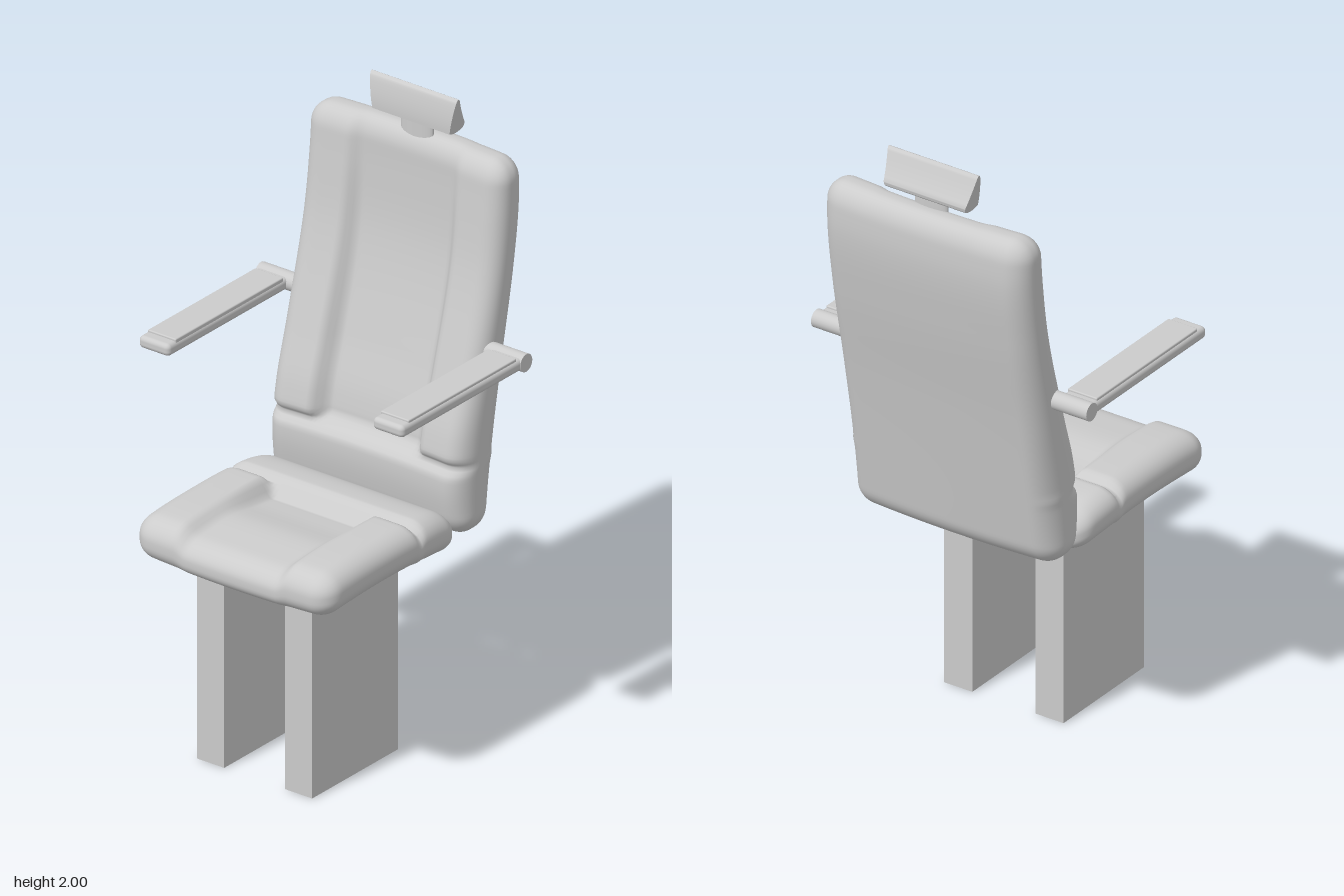
import * as THREE from 'three';
import { mergeVertices, toCreasedNormals } from 'three/addons/utils/BufferGeometryUtils.js';
import { RoundedBoxGeometry } from 'three/addons/geometries/RoundedBoxGeometry.js';

const material = new THREE.MeshStandardMaterial({ color: 0xcccccc });
const { clamp, lerp, smoothstep } = THREE.MathUtils;

function addMesh(parent, name, geometry, x = 0, y = 0, z = 0) {
  const mesh = new THREE.Mesh(geometry, material);
  mesh.name = name;
  mesh.position.set(x, y, z);
  parent.add(mesh);
  return mesh;
}

// Finely divided box with rounded edges, each vertex then moved by warp(v)
function cushion(size, segments, radius, warp) {
  const geometry = new THREE.BoxGeometry(...size, ...segments);
  geometry.deleteAttribute('uv');
  geometry.deleteAttribute('normal');
  const merged = mergeVertices(geometry);
  const inner = new THREE.Vector3(...size).multiplyScalar(0.5).subScalar(radius);
  const core = new THREE.Vector3();
  const v = new THREE.Vector3();
  const pos = merged.attributes.position;
  for (let i = 0; i < pos.count; i++) {
    v.fromBufferAttribute(pos, i);
    core.copy(v).clamp(inner.clone().negate(), inner);
    v.sub(core).setLength(radius).add(core);
    warp(v);
    pos.setXYZ(i, v.x, v.y, v.z);
  }
  merged.computeVertexNormals();
  return merged;
}

// Smooth curve through [position, value] pairs
function curve(points) {
  const spline = new THREE.CubicInterpolant(points.map(p => p[0]), points.map(p => p[1]), 1);
  return t => spline.evaluate(clamp(t, points[0][0], points[points.length - 1][0]))[0];
}

const groove = (t, at, width) => Math.exp(-(((t - at) / width) ** 2));
const middle = x => 1 - smoothstep(Math.abs(x), 0.165, 0.215);

function seatGeometry() {
  const top = curve([[-0.17, 0.765], [-0.08, 0.8], [0.03, 0.812], [0.2, 0.815], [0.4, 0.808], [0.49, 0.795]]);
  const bottom = curve([[-0.17, 0.64], [0, 0.66], [0.2, 0.665], [0.49, 0.652]]);
  const floor = curve([[0.03, 0.06], [0.14, 0.05], [0.26, 0.03], [0.38, 0.03], [0.49, 0.03]]);
  return cushion([0.74, 0.16, 0.66], [60, 14, 60], 0.07, v => {
    v.z += 0.16;
    const t = v.y / 0.16 + 0.5;
    const dish = floor(v.z) * middle(v.x) * smoothstep(v.z, 0.03, 0.06);
    const upper = top(v.z) - 0.025 * groove(v.z, 0.032, 0.014) - dish;
    const lower = bottom(v.z) + 0.015 * (v.x / 0.37) ** 2;
    v.y = lerp(lower, upper, t);
    v.x *= 1 - 0.03 * smoothstep(-v.z, 0, 0.17);
  });
}

function backGeometry() {
  const front = curve([[0.68, -0.165], [0.85, -0.143], [1, -0.162], [1.17, -0.213], [1.5, -0.303], [1.7, -0.332], [1.85, -0.347]]);
  const rear = curve([[0.68, -0.31], [1.2, -0.395], [1.5, -0.45], [1.7, -0.475], [1.85, -0.47]]);
  const depth = curve([[0.9, 0.05], [1.3, 0.045], [1.6, 0.03], [1.85, 0.01]]);
  return cushion([0.74, 1.17, 0.16], [60, 100, 14], 0.07, v => {
    v.y += 1.265;
    const t = v.z / 0.16 + 0.5;
    const dish = depth(v.y) * middle(v.x) * smoothstep(v.y, 0.905, 0.94);
    const face = front(v.y) - dish - 0.025 * groove(v.y, 0.912, 0.016);
    v.z = lerp(rear(v.y), face, t) - 0.018 * (1 - (v.x / 0.37) ** 2);
  });
}

// Teardrop section drawn in (z, y), extruded across and widened upward
function headrestGeometry() {
  const shape = new THREE.Shape();
  shape.moveTo(-0.44, 1.885);
  shape.quadraticCurveTo(-0.41, 1.872, -0.378, 1.885);
  shape.quadraticCurveTo(-0.375, 1.93, -0.388, 1.985);
  shape.quadraticCurveTo(-0.398, 2.012, -0.408, 1.985);
  shape.quadraticCurveTo(-0.425, 1.94, -0.446, 1.905);
  shape.quadraticCurveTo(-0.45, 1.892, -0.44, 1.885);
  const geometry = new THREE.ExtrudeGeometry(shape, { depth: 0.3, bevelEnabled: false, curveSegments: 8 });
  geometry.translate(0, 0, -0.15).rotateY(-Math.PI / 2);
  const pos = geometry.attributes.position;
  for (let i = 0; i < pos.count; i++) {
    pos.setX(i, pos.getX(i) * lerp(0.96, 1.09, (pos.getY(i) - 1.88) / 0.12));
  }
  return toCreasedNormals(geometry, 0.8);
}

export function createModel() {
  const chair = new THREE.Group();
  chair.name = 'chair';

  addMesh(chair, 'seatCushion', seatGeometry());
  addMesh(chair, 'backrest', backGeometry());
  addMesh(chair, 'headrest', headrestGeometry(), 0.008);
  const stem = addMesh(chair, 'headrestStem', new THREE.CylinderGeometry(0.06, 0.06, 0.08, 24), 0.01, 1.86, -0.407);
  stem.scale.z = 0.27;
  addMesh(chair, 'underSeatPlate', new RoundedBoxGeometry(0.14, 0.04, 0.08, 2, 0.01), 0, 0.652, -0.11);

  // Armrests and legs, mirrored
  for (const [side, s] of [['left', 1], ['right', -1]]) {
    const arm = new THREE.Group();
    arm.name = side + 'Armrest';
    chair.add(arm);
    addMesh(arm, 'armBar', new RoundedBoxGeometry(0.116, 0.04, 0.59, 3, 0.015), s * 0.439, 1.264, -0.005);
    addMesh(arm, 'armPad', new RoundedBoxGeometry(0.106, 0.016, 0.52, 2, 0.004), s * 0.437, 1.283, -0.008);
    const pivot = addMesh(arm, 'armPivot', new THREE.CylinderGeometry(0.029, 0.029, 0.15, 24), s * 0.423, 1.264, -0.305);
    pivot.rotation.z = Math.PI / 2;

    addMesh(chair, side + 'Leg', new THREE.BoxGeometry(0.102, 0.69, 0.415), s * 0.165, 0.345, 0.158);
  }
  return chair;
}
